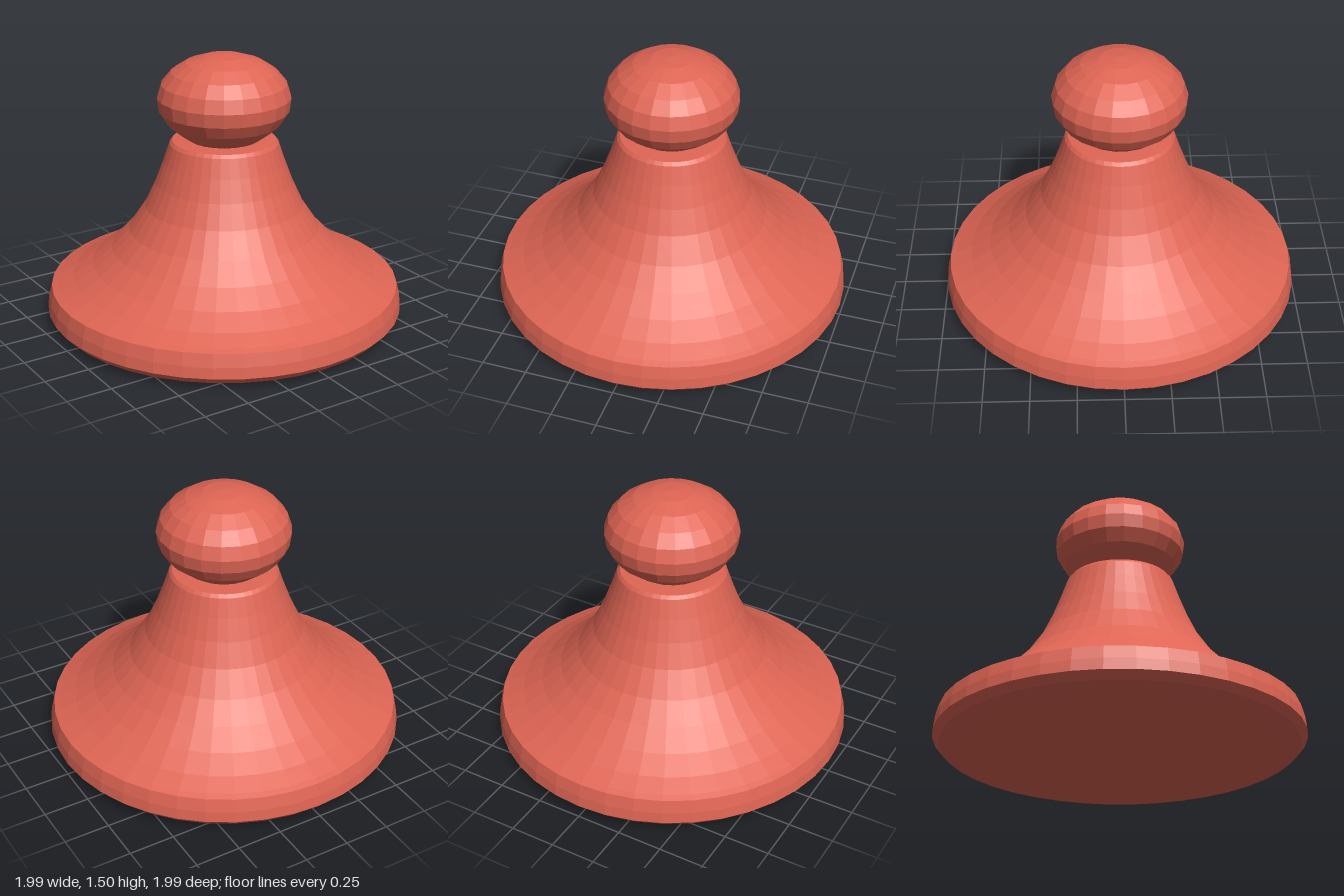
import * as THREE from 'three';

export function createModel() {
  const model = new THREE.Group();
  const red = new THREE.MeshStandardMaterial({ color: 0xdf6554, flatShading: true });
  red.name = 'coral red';

  // Turn a profile of [radius, height] pairs, bottom to top, around y
  const turn = (name, profile, sides) => {
    const points = profile.map(([r, y]) => new THREE.Vector2(r, y));
    const mesh = new THREE.Mesh(new THREE.LatheGeometry(points, sides), red);
    mesh.name = name;
    model.add(mesh);
  };

  // Round foot with bevelled lower edge
  turn('base', [
    [0, 0], [0.87, 0], [0.96, 0.03], [0.997, 0.07], [0.99, 0.13], [0.972, 0.2], [0.94, 0.213],
  ], 40);

  // Flaring concave body, closed by a flat top
  turn('body', [
    [0.94, 0.213], [0.85, 0.255], [0.74, 0.322], [0.63, 0.41], [0.53, 0.515], [0.44, 0.65],
    [0.38, 0.78], [0.335, 0.9], [0.3, 1.005], [0.285, 1.023], [0.2, 1.03], [0, 1.03],
  ], 40);

  // Flattened ball on top, slightly cut off where it rests on the body
  const ball = [[0, 1.02], [0.19, 1.025]];
  for (let i = 0; i <= 8; i++) {
    const a = THREE.MathUtils.lerp(-0.85, Math.PI / 2, i / 8);
    ball.push([i === 8 ? 0 : 0.367 * Math.cos(a), 1.25 + 0.25 * Math.sin(a)]);
  }
  turn('knob', ball, 22);

  return model;
}
